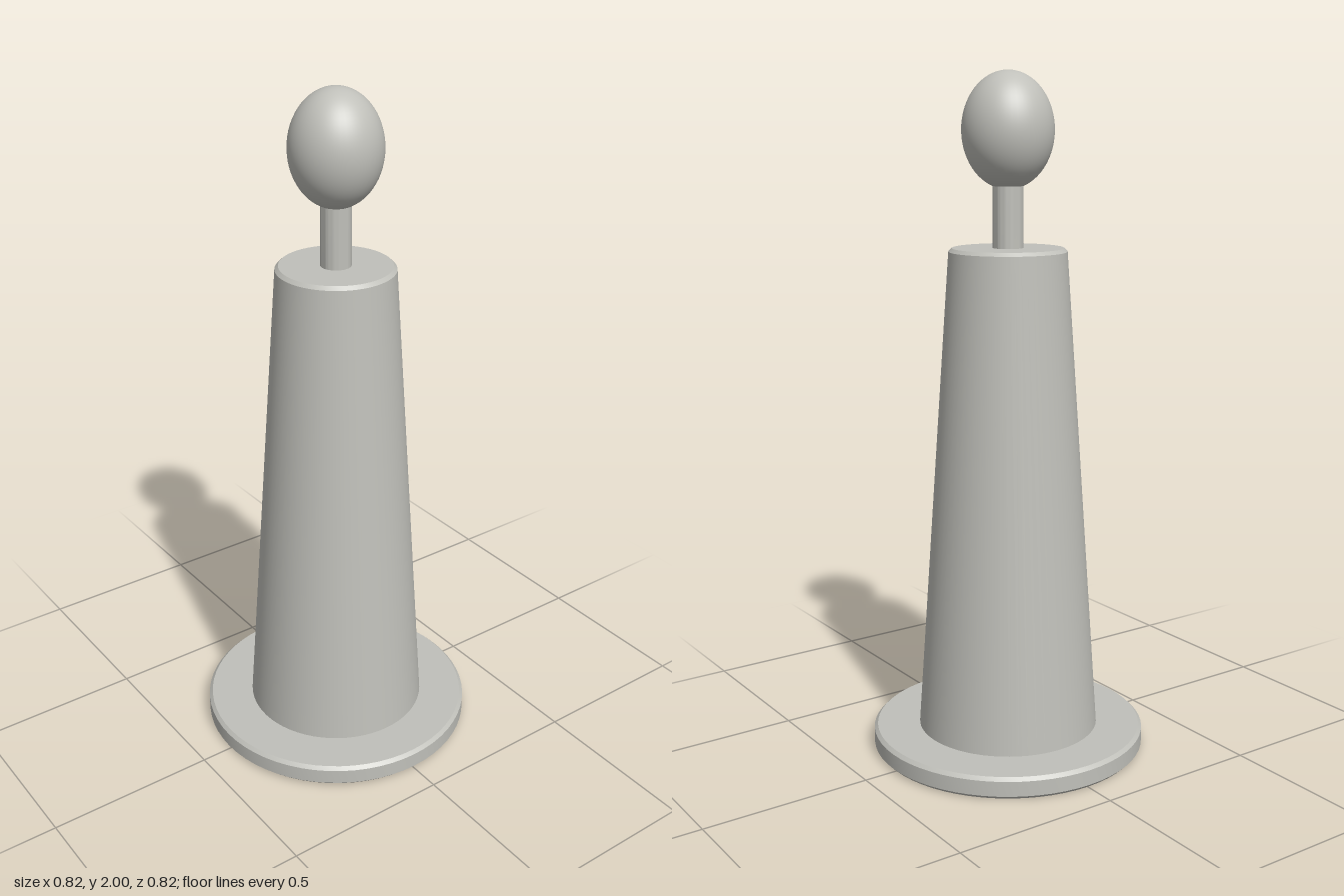
import * as THREE from 'three';
import { toCreasedNormals } from 'three/addons/utils/BufferGeometryUtils.js';

export function createModel() {
  const model = new THREE.Group();
  const grey = new THREE.MeshStandardMaterial({ color: 0xc0c0ba });
  grey.name = 'pale grey';

  const add = (name, geometry) => {
    const mesh = new THREE.Mesh(geometry, grey);
    mesh.name = name;
    model.add(mesh);
    return mesh;
  };

  // Turned part from [radius, height] points, bottom to top, with crisp edges
  const turned = (name, profile) => {
    const points = profile.map(([r, y]) => new THREE.Vector2(r, y));
    return add(name, toCreasedNormals(new THREE.LatheGeometry(points, 64), 0.5));
  };

  // Flat round foot with small chamfers
  turned('base', [[0, 0], [0.398, 0], [0.408, 0.01], [0.408, 0.055], [0.398, 0.065], [0, 0.065]]);

  // Tapering column with a chamfered top rim
  turned('body', [[0, 0.06], [0.27, 0.06], [0.171, 1.495], [0.161, 1.505], [0, 1.505]]);

  // Thin neck running up into the knob
  turned('neck', [[0, 1.49], [0.044, 1.49], [0.044, 1.7], [0, 1.7]]);

  // Egg-shaped knob
  const knob = add('knob', new THREE.SphereGeometry(1, 48, 32));
  knob.scale.set(0.132, 0.165, 0.132);
  knob.position.y = 1.835;

  return model;
}
